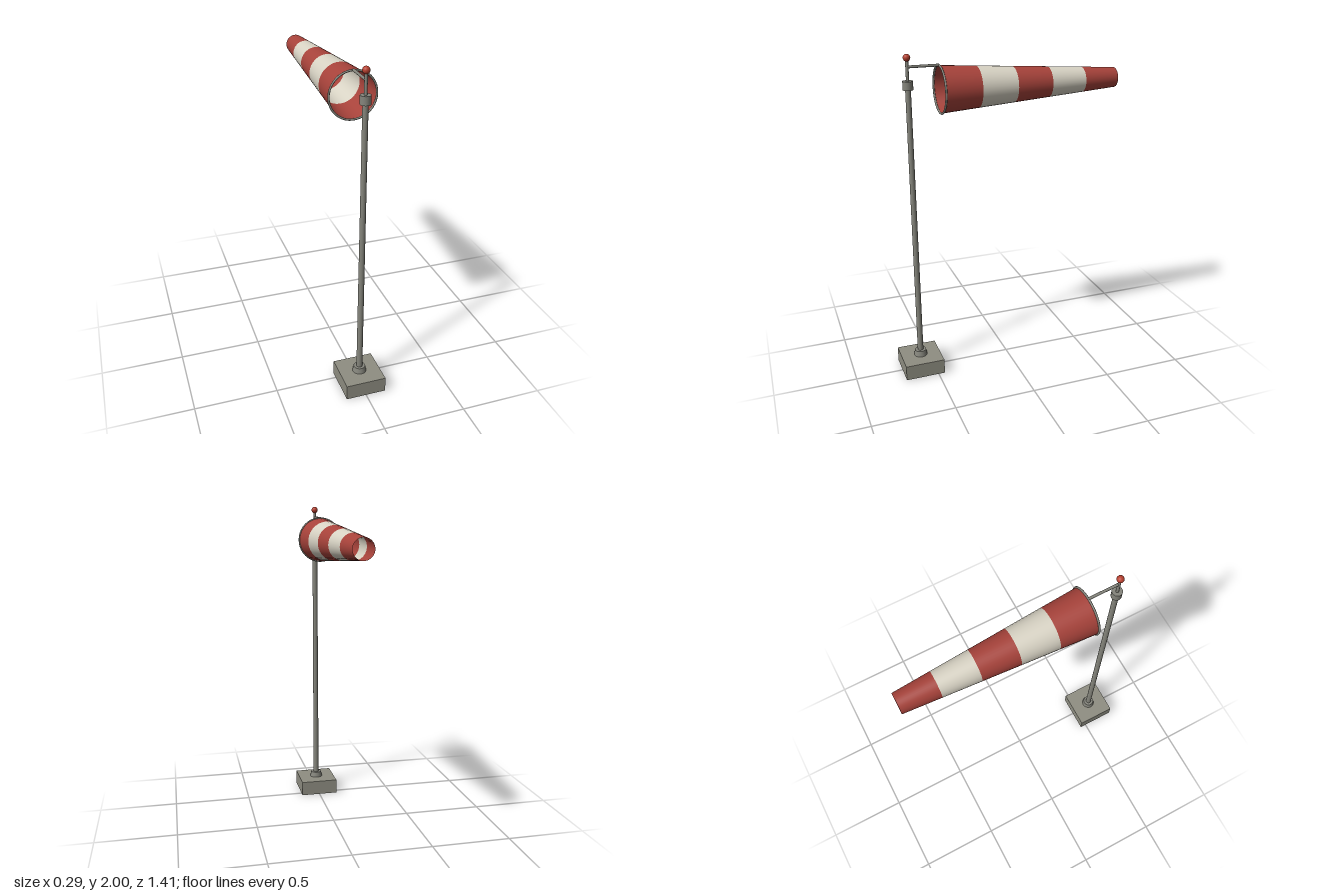
import * as THREE from 'three';

const material = (name, color, side = THREE.FrontSide) => {
  const m = new THREE.MeshStandardMaterial({ color, side });
  m.name = name;
  return m;
};

export function createModel() {
  const red = material('red fabric', 0xa8433b, THREE.DoubleSide);
  const cream = material('cream fabric', 0xd9d4c5, THREE.DoubleSide);
  const concrete = material('concrete', 0x8f8e82, THREE.DoubleSide);
  const metal = material('grey metal', 0x85857c);
  const lamp = material('lamp red', 0xb8402f);

  const group = new THREE.Group();
  group.name = 'windsock';
  const poleZ = 0.583;
  const sockY = 1.79;

  const add = (name, geometry, mat, x, y, z) => {
    const mesh = new THREE.Mesh(geometry, mat);
    mesh.name = name;
    mesh.position.set(x, y, z);
    group.add(mesh);
    return mesh;
  };

  // Upright round part on the pole axis, from y0 to y1
  const post = (name, y0, y1, rBottom, rTop) =>
    add(name, new THREE.CylinderGeometry(rTop, rBottom, y1 - y0, 20), metal, 0, (y0 + y1) / 2, poleZ);

  // Concrete footing, a shell left open underneath
  const footing = new THREE.BoxGeometry(0.246, 0.095, 0.246);
  const index = Array.from(footing.index.array);
  index.splice(18, 6); // drop the bottom face
  footing.setIndex(index);
  footing.clearGroups();
  add('footing', footing, concrete, 0, 0.0475, poleZ);

  // Mast with its foot, swivel collar and spindle
  post('mastFoot', 0.095, 0.13, 0.042, 0.035);
  post('mast', 0.13, 1.8, 0.018, 0.016);
  post('swivelCollar', 1.8, 1.85, 0.03, 0.03);
  post('spindle', 1.85, 1.97, 0.009, 0.009);
  add('topLamp', new THREE.SphereGeometry(0.021, 20, 14), lamp, 0, 1.979, poleZ);

  // Arm that carries the hoop
  const arm = new THREE.CylinderGeometry(0.008, 0.008, poleZ - 0.4, 12).rotateX(Math.PI / 2);
  add('arm', arm, metal, 0, 1.928, (poleZ + 0.4) / 2);
  add('hoop', new THREE.TorusGeometry(0.137, 0.006, 10, 40), metal, 0, sockY, 0.4);

  // Tapering fabric sleeve in five bands, open at both ends
  const bands = 5, front = 0.4, back = -0.706, rFront = 0.136, rBack = 0.06;
  const length = (front - back) / bands;
  for (let i = 0; i < bands; i++) {
    const r0 = THREE.MathUtils.lerp(rFront, rBack, i / bands);
    const r1 = THREE.MathUtils.lerp(rFront, rBack, (i + 1) / bands);
    const band = new THREE.CylinderGeometry(r0, r1, length, 40, 1, true).rotateX(Math.PI / 2);
    add(`sleeveBand${i + 1}`, band, i % 2 ? cream : red, 0, sockY, front - (i + 0.5) * length);
  }
  return group;
}
